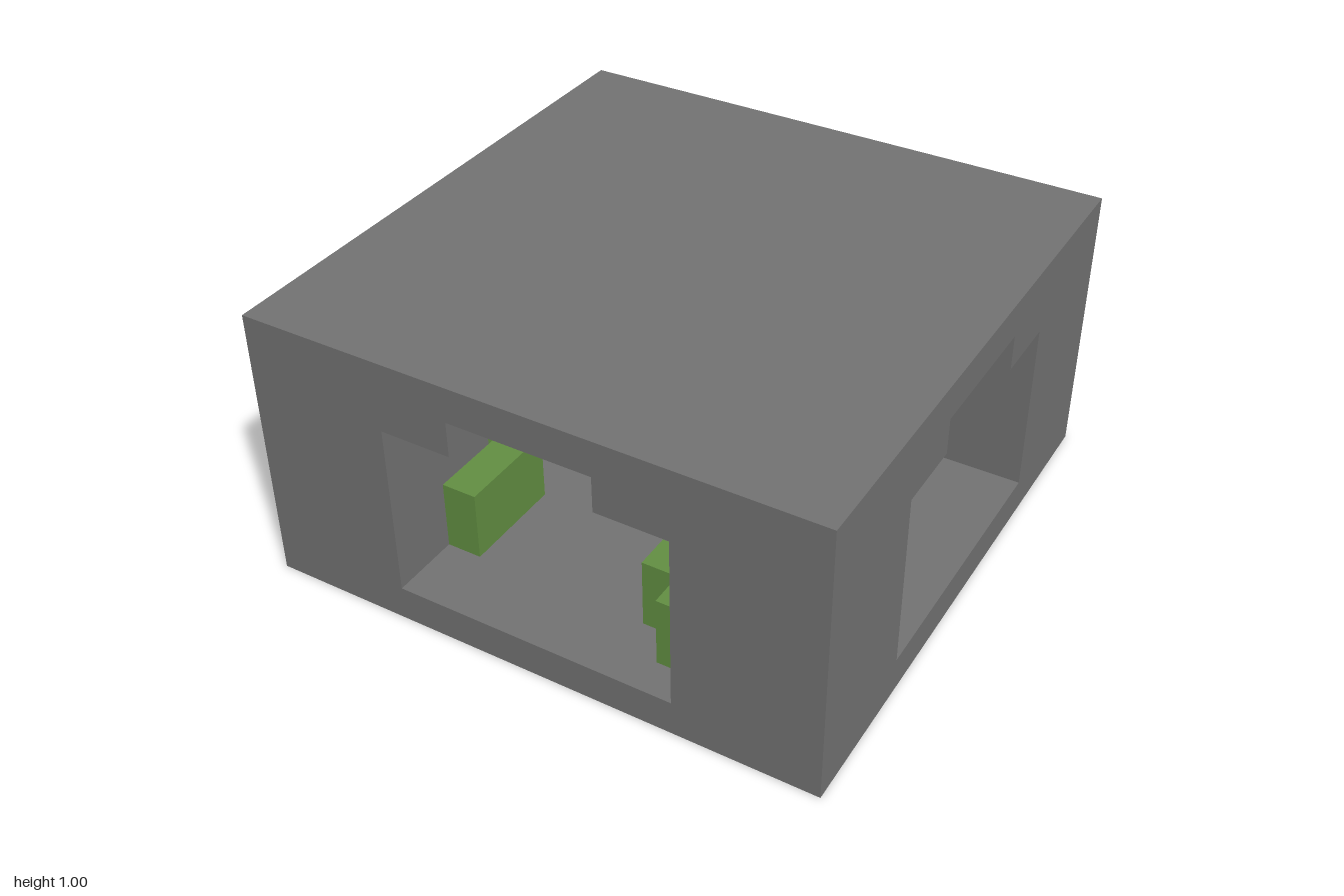
import * as THREE from 'three';

const U = 0.125; // one block

export function createModel() {
  const model = new THREE.Group();
  const mat = (name, color) => {
    const m = new THREE.MeshStandardMaterial({ color });
    m.name = name;
    return m;
  };
  const stone = mat('stone grey', 0x747474);
  const pale = mat('pale grey', 0xb9bdc0);
  const moss = mat('moss green', 0x639043);
  const leaf = mat('leaf green', 0x3a702d);

  // Box from its lowest corner to its highest corner, counted in blocks
  const block = (name, material, x0, y0, z0, x1, y1, z1) => {
    const g = new THREE.BoxGeometry((x1 - x0) * U, (y1 - y0) * U, (z1 - z0) * U);
    g.translate((x0 + x1) * U / 2, (y0 + y1) * U / 2, (z0 + z1) * U / 2);
    const mesh = new THREE.Mesh(g, material);
    mesh.name = name;
    model.add(mesh);
  };
  const cube = (name, material, x, y, z) => block(name, material, x, y, z, x + 1, y + 1, z + 1);

  // Stone shell: floor, roof, and four corners leaving crossing passages
  block('floor', stone, -8, 0, -8, 8, 1, 8);
  block('roof', stone, -8, 7, -8, 8, 8, 8);
  for (const sx of [-1, 1]) for (const sz of [-1, 1]) {
    const corner = (name, inner, y0, y1) => block(name, stone,
      sx > 0 ? inner : -8, y0, sz > 0 ? inner : -8,
      sx > 0 ? 8 : -inner, y1, sz > 0 ? 8 : -inner);
    corner('cornerPillar', 4, 1, 6);
    corner('ceilingStep', 2, 6, 7);
  }

  // Bushes on both sides of the right-hand passage
  for (const s of [1, -1]) {
    const bush = (x0, y0, z0, x1, y1, z1) => block('bush', moss,
      x0, y0, s > 0 ? z0 : -z1, x1, y1, s > 0 ? z1 : -z0);
    bush(-6, 1, 2, -4, 3, 3);
    bush(s > 0 ? -7 : -6, 1, 3, -4, 3, 4);
    bush(-6, 3, 3, -4, 4, 4);
  }

  // Bushes in the front and back passages
  block('frontBush', moss, -4, 1, 3, -3, 3, 6);
  block('frontBush', moss, 3, 1, 4, 4, 3, 7);
  block('frontBush', moss, 2, 1, 5, 3, 3, 6);
  block('frontBushTop', moss, 3, 3, 5, 4, 4, 6);
  block('backBush', moss, 3, 1, -7, 4, 3, -5);
  block('backStone', stone, 3, 1, -5, 4, 3, -4);

  // Hanging leaves under the ceiling
  const leaves = [
    [4, 5, 3], [5, 5, 3], [6, 5, 3], [5, 5, 2], [5, 4, 3],
    [1, 5, -5], [2, 5, -5], [3, 5, -5], [2, 5, -6], [2, 4, -5], [3, 4, -5],
    [-5, 6, 1], [-6, 6, 1], [-4, 6, 1], [-5, 6, 0], [-5, 5, 1],
  ];
  for (const [x, y, z] of leaves) cube('hangingLeaf', leaf, x, y, z);

  // Pale blocks on the ceiling
  const lamps = [[-4, 5, -6], [5, 5, -4], [3, 5, 5], [1, 6, 5], [-5, 6, -2]];
  for (const [x, y, z] of lamps) cube('ceilingBlock', pale, x, y, z);

  return model;
}
